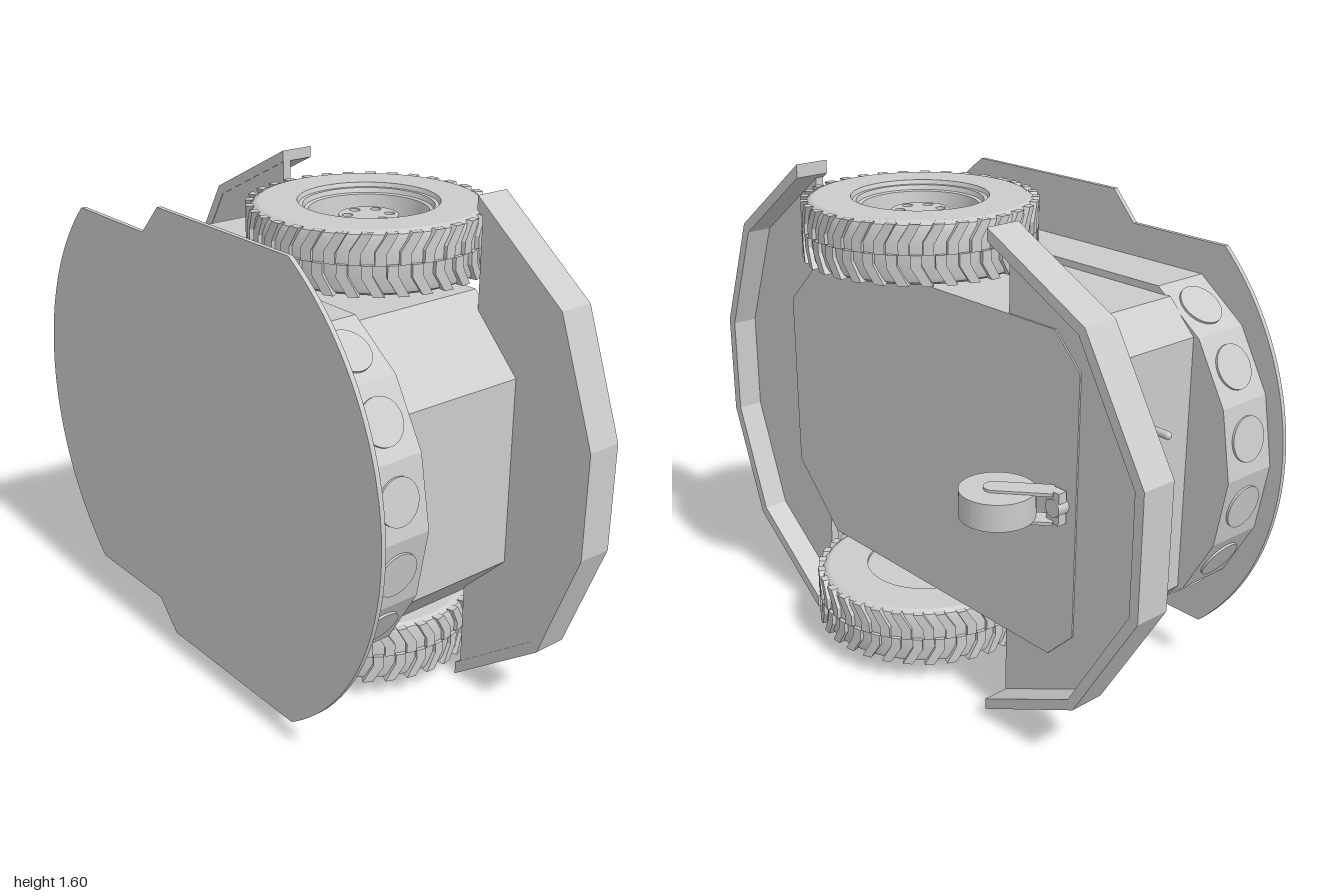
import * as THREE from 'three';
import { mergeGeometries, toCreasedNormals } from 'three/addons/utils/BufferGeometryUtils.js';

const V = (x, y) => new THREE.Vector2(x, y);
const grey = () => new THREE.MeshStandardMaterial({ color: 0xcccccc });

function add(parent, name, geometry, x = 0, y = 0, z = 0) {
  const mesh = new THREE.Mesh(geometry, grey());
  mesh.name = name;
  mesh.position.set(x, y, z);
  parent.add(mesh);
  return mesh;
}

// Prism of an outline (points or shape) in xy between two z levels
function prism(outline, z0, z1) {
  const shape = Array.isArray(outline) ? new THREE.Shape(outline.map(([x, y]) => V(x, y))) : outline;
  const g = new THREE.ExtrudeGeometry(shape, { depth: z1 - z0, bevelEnabled: false, curveSegments: 32 });
  return toCreasedNormals(g.translate(0, 0, z0), 0.3);
}

// Closes an upper half outline with its mirror image below
const mirrorY = (half) => [...half, ...half.filter((p) => p[1] !== 0).reverse().map(([x, y]) => [x, -y])];

// Treaded wheel along y, outer side up
function makeWheel(name) {
  const wheel = new THREE.Group();
  wheel.name = name;
  const profile = [
    [0, -0.085], [0.2, -0.085], [0.2, -0.095], [0.335, -0.095], [0.352, -0.085], [0.357, -0.07],
    [0.357, 0.07], [0.352, 0.085], [0.335, 0.095], [0.215, 0.095], [0.21, 0.082], [0.198, 0.082],
    [0.193, 0.068], [0.182, 0.065], [0.168, -0.03], [0, -0.03],
  ].map(([r, y]) => V(r, y));
  add(wheel, 'tyreAndRim', toCreasedNormals(new THREE.LatheGeometry(profile, 64), 0.5));

  // Bent lugs, staggered between the two halves of the tread
  const lugs = [];
  const count = 32;
  for (const side of [1, -1]) {
    const outline = [[-0.016, 0], [0.016, 0], [0.016, 0.032], [0.05, 0.092], [0.018, 0.092], [-0.016, 0.038]];
    const lug = prism(outline.map(([s, w]) => [s - 0.01, w * side]), 0.345, 0.369);
    for (let i = 0; i < count; i++) {
      lugs.push(lug.clone().rotateY(((i + (side > 0 ? 0 : 0.5)) / count) * Math.PI * 2));
    }
  }
  add(wheel, 'treadLugs', mergeGeometries(lugs));

  // Hub with six bolt holes
  add(wheel, 'hubBase', new THREE.CylinderGeometry(0.09, 0.09, 0.06, 32), 0, -0.005, 0);
  const face = new THREE.Shape();
  face.absarc(0, 0, 0.09, 0, Math.PI * 2);
  for (let i = 0; i < 6; i++) {
    const a = (i / 6) * Math.PI * 2;
    const hole = new THREE.Path();
    hole.absarc(0.064 * Math.cos(a), 0.064 * Math.sin(a), 0.016, 0, Math.PI * 2);
    face.holes.push(hole);
  }
  add(wheel, 'hubFace', prism(face, 0, 0.025).rotateX(-Math.PI / 2), 0, 0.025, 0);
  add(wheel, 'axle', new THREE.CylinderGeometry(0.05, 0.05, 0.12, 24), 0, -0.14, 0);
  return wheel;
}

// Angular bumper: deep rim around a thin plate
function makeBumper(name, outer, inner, plateX) {
  const bumper = new THREE.Group();
  bumper.name = name;
  const out = mirrorY(outer);
  const inn = mirrorY(inner);
  add(bumper, 'bumperRim', prism([...out, ...inn.slice().reverse()], -0.3, -0.185));
  const plate = inn.map(([x, y], i) => (i === 0 || i === inn.length - 1 ? [plateX, y] : [x, y]));
  add(bumper, 'bumperPlate', prism(plate, -0.215, -0.187));
  return bumper;
}

export function createModel() {
  const model = new THREE.Group();
  model.name = 'robotBase';
  const base = new THREE.Group();
  base.name = 'base';
  base.position.y = 0.8;
  model.add(base);

  // Chamfered main body
  add(base, 'body', prism(mirrorY([[0.705, 0.3], [0.495, 0.51], [-0.58, 0.51], [-0.68, 0.41]]), -0.22, 0.25));

  // Faceted sensor ring with round sensors on its end facets
  const rightEnd = [[0.82, 0], [0.78, 0.22], [0.67, 0.41], [0.5, 0.532]];
  const leftEnd = [[-0.845, 0], [-0.807, 0.22], [-0.7, 0.41], [-0.535, 0.532]];
  add(base, 'sensorRing', prism(mirrorY([...rightEnd, ...leftEnd.slice().reverse()]), 0.245, 0.44));
  for (const end of [rightEnd, leftEnd]) {
    for (let i = 0; i < 3; i++) {
      for (const m of [1, -1]) {
        const [a, b] = [end[i], end[i + 1]];
        const normal = new THREE.Vector3(b[1] - a[1], Math.abs(a[0] - b[0]) * m, 0).normalize();
        normal.x *= Math.sign(a[0]);
        const sensor = add(base, 'sensor', new THREE.CylinderGeometry(0.07, 0.07, 0.014, 32),
          (a[0] + b[0]) / 2, (m * (a[1] + b[1])) / 2, 0.343);
        sensor.quaternion.setFromUnitVectors(new THREE.Vector3(0, 1, 0), normal);
      }
    }
  }

  // Round front plate, cut flat and notched
  const R = 0.877, cx = -0.012;
  const a0 = Math.asin(0.73 / R), a1 = Math.PI - Math.asin(0.635 / R);
  const plate = new THREE.Shape();
  plate.absarc(cx, 0, R, -a0, a0);
  plate.lineTo(-0.16, 0.73);
  plate.lineTo(-0.25, 0.635);
  plate.absarc(cx, 0, R, a1, Math.PI * 2 - a1);
  plate.lineTo(-0.25, -0.635);
  plate.lineTo(-0.16, -0.73);
  add(base, 'frontPlate', prism(plate, 0.44, 0.455));

  // Bumpers
  base.add(makeBumper('leftBumper',
    [[0.52, 0.8], [0.86, 0.545], [1, 0.17]],
    [[0.52, 0.757], [0.835, 0.52], [0.968, 0.162]], 0.54));
  base.add(makeBumper('rightBumper',
    [[-0.39, 0.77], [-0.77, 0.58], [-1, 0.195]],
    [[-0.39, 0.733], [-0.748, 0.555], [-0.968, 0.185]], -0.39));

  // Drive wheels
  for (const m of [1, -1]) {
    const wheel = makeWheel('driveWheel');
    wheel.position.set(0.165, 0.638 * m, -0.085);
    if (m < 0) wheel.rotation.x = Math.PI;
    base.add(wheel);
  }

  // Caster wheel held by two slanted arms and a stem
  const caster = new THREE.Group();
  caster.name = 'caster';
  base.add(caster);
  add(caster, 'casterWheel', new THREE.CylinderGeometry(0.112, 0.112, 0.084, 40), -0.49, 0, -0.346);
  const arm = new THREE.Shape();
  arm.absarc(0, 0, 0.032, -Math.PI / 2, Math.PI / 2);
  arm.lineTo(-0.17, 0.032);
  arm.lineTo(-0.17, -0.032);
  for (const m of [1, -1]) {
    const side = add(caster, 'casterArm', prism(arm, -0.005, 0.005).rotateX(-Math.PI / 2), -0.485, 0.045 * m, -0.353);
    side.rotation.y = 0.72;
  }
  add(caster, 'casterBridge', new THREE.BoxGeometry(0.05, 0.1, 0.03), -0.622, 0, -0.24);
  add(caster, 'casterStem', new THREE.CylinderGeometry(0.028, 0.028, 0.06, 20).rotateX(Math.PI / 2), -0.625, 0, -0.23);

  // Small lever on the right end
  add(base, 'lever', new THREE.CapsuleGeometry(0.012, 0.13, 6, 16).rotateZ(Math.PI / 2), -0.73, 0.2, 0.02);

  return model;
}
